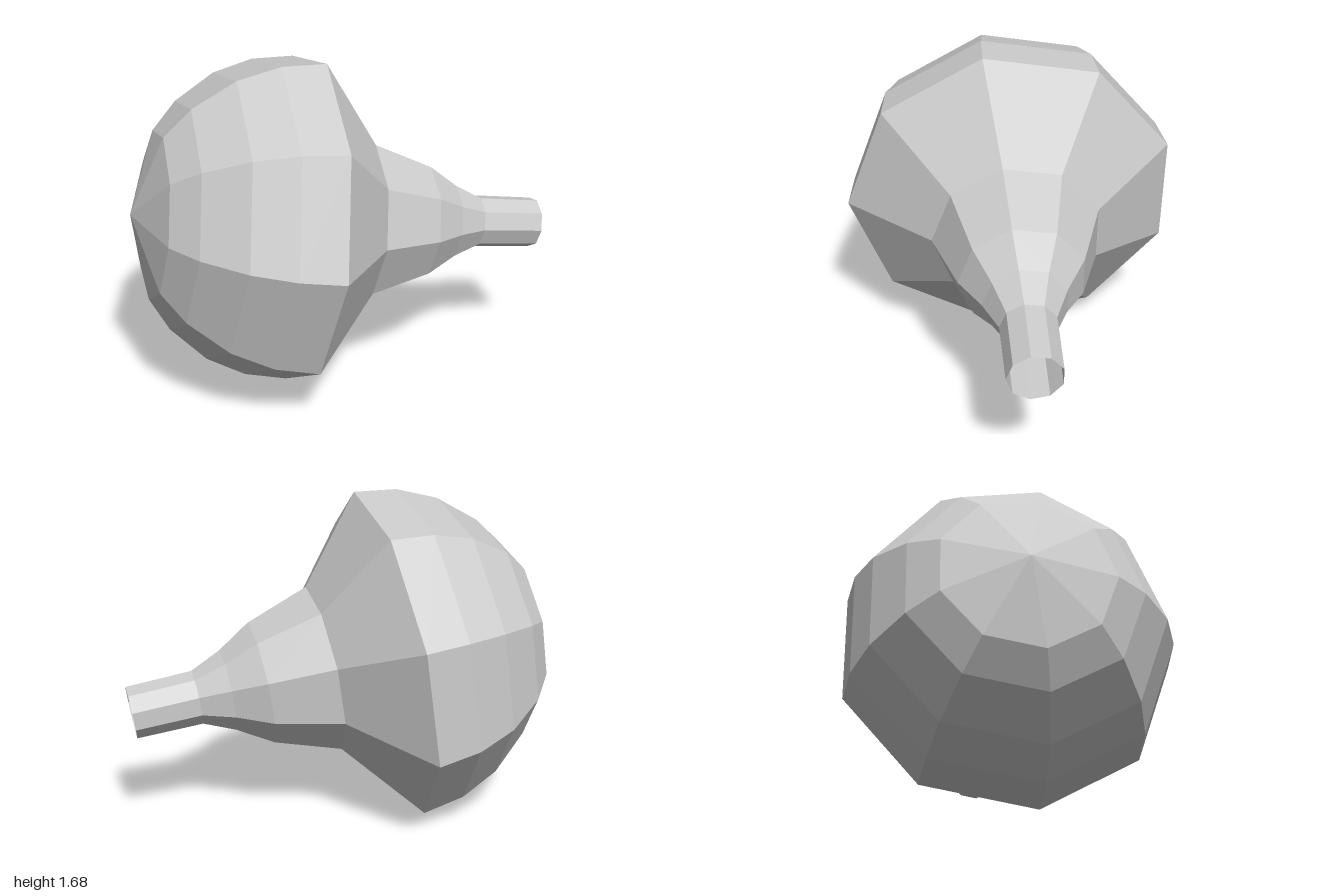
import * as THREE from 'three';

const SIDES = 9;
const R = 0.862; // radius of the bulb

export function createModel() {
  const model = new THREE.Group();
  model.name = 'bulbModel';
  const material = new THREE.MeshStandardMaterial({
    color: 0xcccccc, flatShading: true, side: THREE.DoubleSide,
  });

  // Everything is turned around one tilted axis (local y runs from stem to dome)
  const bulb = new THREE.Group();
  bulb.name = 'bulb';
  const axis = new THREE.Vector3(-0.61, 0.132, 0.781).normalize();
  const side = new THREE.Vector3(axis.z, 0, -axis.x).normalize();
  const up = new THREE.Vector3().crossVectors(axis, side);
  bulb.quaternion.setFromRotationMatrix(new THREE.Matrix4().makeBasis(up, axis, side));
  bulb.position.set(-0.052, 0.843, 0.137);
  model.add(bulb);

  const turn = (name, profile) => {
    const points = profile.map(([r, y]) => new THREE.Vector2(r, y));
    const mesh = new THREE.Mesh(new THREE.LatheGeometry(points, SIDES), material);
    mesh.name = name;
    bulb.add(mesh);
  };

  // Rounded front half, rings by angle from the pole
  turn('dome', [90, 75, 60, 43, 30, 0].map((deg) => {
    const a = THREE.MathUtils.degToRad(deg);
    return [R * Math.sin(a), R * Math.cos(a)];
  }));

  // Sloped back of the bulb
  turn('shoulder', [[0.435, -0.34], [R, 0]]);

  // Tapering neck ending in an open tube
  turn('neck', [[0.14, -1.0], [0.212, -0.84], [0.319, -0.67], [0.435, -0.34]]);
  turn('tube', [[0.135, -1.337], [0.14, -1.0]]);

  return model;
}
